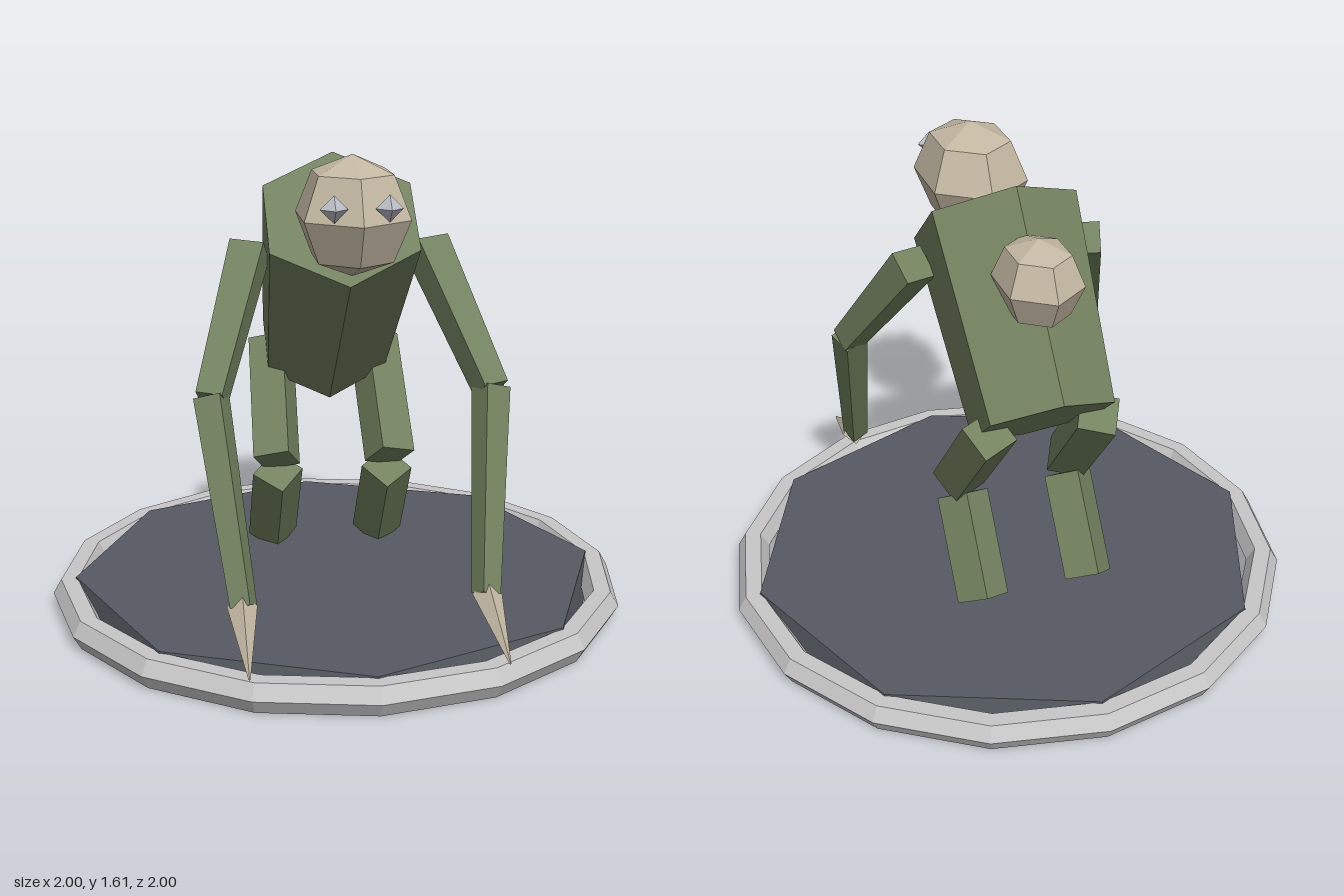
import * as THREE from 'three';

const flat = (name, color) => {
  const m = new THREE.MeshStandardMaterial({ color, flatShading: true });
  m.name = name;
  return m;
};

export function createModel() {
  const model = new THREE.Group();
  model.name = 'crouchingCreature';

  const skin = flat('mossGreen', 0x73825f);
  const bone = flat('paleBone', 0xc4b9a3);
  const slate = flat('slate', 0x565a62);
  const rimGrey = flat('lightGrey', 0xc8c8c8);
  const eyeGrey = flat('eyeGrey', 0xbcc0c8);

  const add = (name, geometry, material, x, y, z) => {
    const mesh = new THREE.Mesh(geometry, material);
    mesh.name = name;
    mesh.position.set(x, y, z);
    model.add(mesh);
    return mesh;
  };

  // Four-sided tapered limb from point a (top) to point b (bottom), twisted about its axis
  const up = new THREE.Vector3(0, 1, 0);
  const limb = (name, material, a, b, rA, rB, twist) => {
    const top = new THREE.Vector3(...a);
    const bottom = new THREE.Vector3(...b);
    const axis = top.clone().sub(bottom);
    const geometry = new THREE.CylinderGeometry(rA, rB, axis.length(), 4);
    geometry.rotateY(twist);
    const mid = top.add(bottom).multiplyScalar(0.5);
    const mesh = add(name, geometry, material, mid.x, mid.y, mid.z);
    mesh.quaternion.setFromUnitVectors(up, axis.normalize());
  };

  // Faceted ball with a corner facing forward
  const ball = (name, r, stretch, y, z) => {
    const geometry = new THREE.SphereGeometry(r, 6, 4);
    geometry.rotateY(Math.PI / 2);
    geometry.scale(1, 1, stretch);
    return add(name, geometry, bone, 0, y, z);
  };

  // Base: octagonal disc inside a loose ring
  add('baseDisc', new THREE.CylinderGeometry(0.92, 0.94, 0.107, 8), slate, 0, 0.0535, 0);
  const ring = new THREE.TorusGeometry(0.943, 0.057, 6, 16);
  ring.rotateX(Math.PI / 2);
  add('baseRing', ring, rimGrey, 0, 0.052, 0);

  // Torso leaning forward
  const torso = add('torso', new THREE.CylinderGeometry(0.288, 0.246, 0.715, 6), skin, 0, 1.107, -0.12);
  torso.rotation.x = 0.727;

  // Head and the lump on the back
  ball('head', 0.193, 1.26, 1.42, 0.367);
  ball('backLump', 0.145, 1.25, 1.326, -0.297);

  for (const s of [1, -1]) {
    const side = s > 0 ? 'left' : 'right';
    add(side + 'Eye', new THREE.OctahedronGeometry(0.043), eyeGrey, s * 0.085, 1.47, 0.563);

    // Arm and claw
    limb(side + 'UpperArm', skin, [s * 0.3, 1.265, 0.06], [s * 0.455, 0.845, 0.39], 0.082, 0.062, s * -0.45);
    limb(side + 'Forearm', skin, [s * 0.455, 0.85, 0.385], [s * 0.385, 0.255, 0.68], 0.064, 0.047, s * -0.4);
    limb(side + 'Claw', bone, [s * 0.389, 0.255, 0.675], [s * 0.393, 0.15, 0.975], 0.048, 0.003, 0);

    // Leg
    limb(side + 'Thigh', skin, [s * 0.19, 0.84, -0.375], [s * 0.203, 0.48, -0.075], 0.092, 0.092, s * -0.38);
    limb(side + 'Shin', skin, [s * 0.197, 0.43, -0.1], [s * 0.197, 0.128, -0.315], 0.09, 0.09, s * -0.1);
  }

  return model;
}
